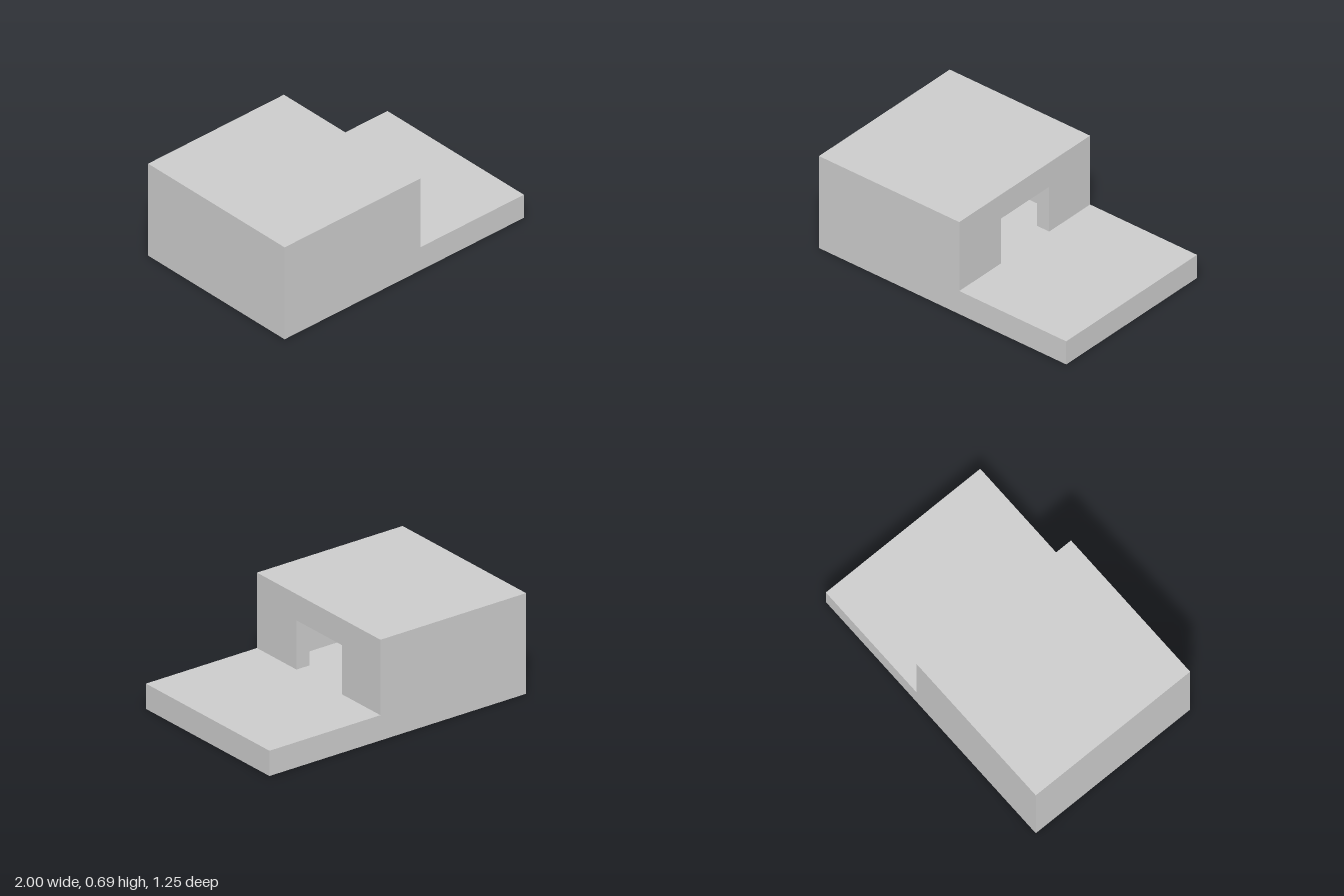
import * as THREE from 'three';

const material = new THREE.MeshStandardMaterial({ color: 0xcccccc, flatShading: true });

// Plan given as [x, z] corners, raised from y0 to y1
function slab(name, plan, y0, y1, hole) {
  const points = (list) => list.map(([x, z]) => new THREE.Vector2(x, -z));
  const shape = new THREE.Shape(points(plan));
  if (hole) shape.holes.push(new THREE.Path(points(hole)));
  const geometry = new THREE.ExtrudeGeometry(shape, { depth: y1 - y0, bevelEnabled: false });
  geometry.rotateX(-Math.PI / 2);
  geometry.translate(0, y0, 0);
  const mesh = new THREE.Mesh(geometry, material);
  mesh.name = name;
  return mesh;
}

const rect = (x0, x1, z0, z1) => [[x0, z1], [x1, z1], [x1, z0], [x0, z0]];

export function createModel() {
  const group = new THREE.Group();
  group.name = 'blockHouse';

  const W = 0.627;                         // half depth
  const front = 0.135, inner = 0.035;      // doorway wall, outer and inner face
  const room = { x: -0.79, z0: -0.425, z1: 0.39 };
  const door = { z0: -0.235, z1: 0.225 };
  const floorY = 0.172, doorTop = 0.506, ceiling = 0.67, top = 0.685;
  const house = rect(-1, front, -W, W);

  // Base plate with the open terrace on the left
  group.add(slab('base', rect(-1, 1, -W, W), 0, floorY));

  // Walls up to the door head, open at the doorway
  group.add(slab('lowerWalls', [
    [-1, W], [front, W], [front, door.z1], [inner, door.z1],
    [inner, room.z1], [room.x, room.z1], [room.x, room.z0], [inner, room.z0],
    [inner, door.z0], [front, door.z0], [front, -W], [-1, -W],
  ], floorY, doorTop));

  // Closed ring of wall above the doorway
  group.add(slab('upperWalls', house, doorTop, ceiling, rect(room.x, inner, room.z0, room.z1)));

  // Flat roof
  group.add(slab('roof', house, ceiling, top));

  return group;
}
